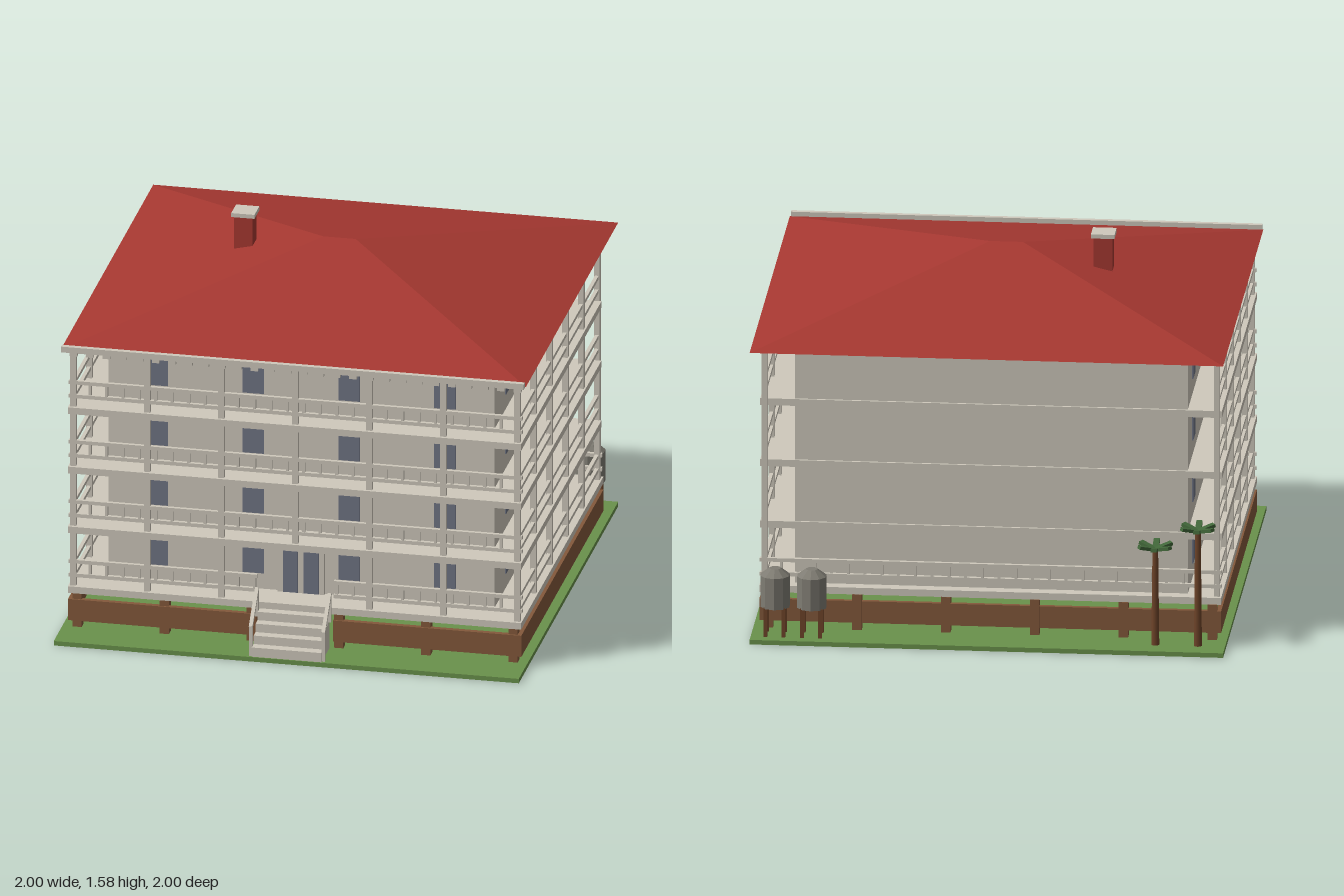
import * as THREE from 'three';

const mat = (name, color, extra = {}) => {
  const m = new THREE.MeshStandardMaterial({ color, ...extra });
  m.name = name;
  return m;
};

export function createModel() {
  const stone = mat('stone', 0xcfc9bc);
  const red = mat('roofRed', 0xa63831);
  const grass = mat('grass', 0x6a924b);
  const timber = mat('timber', 0x84593b);
  const glass = mat('glass', 0x707585);
  const metal = mat('tankMetal', 0x7f7c73);
  const bark = mat('bark', 0x6e4429);
  const leaf = mat('leaf', 0x42683a);

  const model = new THREE.Group();
  model.name = 'galleryHouse';
  const group = (name) => {
    const g = new THREE.Group();
    g.name = name;
    model.add(g);
    return g;
  };
  const mesh = (parent, name, geo, m, x = 0, y = 0, z = 0) => {
    const o = new THREE.Mesh(geo, m);
    o.name = name;
    o.position.set(x, y, z);
    parent.add(o);
    return o;
  };
  // Box given by its minimum and maximum on each axis
  const box = (parent, name, m, x0, x1, y0, y1, z0, z1) =>
    mesh(parent, name, new THREE.BoxGeometry(x1 - x0, y1 - y0, z1 - z0), m,
      (x0 + x1) / 2, (y0 + y1) / 2, (z0 + z1) / 2);

  box(model, 'lawn', grass, -1, 1, 0, 0.02, -1, 1);

  // Timber stilts and skirt boards
  const base = group('foundation');
  for (let i = 0; i < 6; i++)
    for (const z of [0.805, -0.805]) {
      const x = -0.9375 + i * 0.375;
      box(base, 'stilt', timber, x - 0.02, x + 0.02, 0.02, 0.176, z - 0.02, z + 0.02);
    }
  for (const s of [-1, 1]) {
    const a = s < 0 ? -0.975 : 0.165;
    box(base, 'frontSkirt', timber, a, a + 0.81, 0.05, 0.146, 0.81, 0.832);
    box(base, 'sideSkirt', timber, s * 0.965 - 0.01, s * 0.965 + 0.01, 0.05, 0.146, -0.82, 0.832);
  }
  box(base, 'backSkirt', timber, -0.975, 0.975, 0.05, 0.146, -0.82, -0.8);

  // Building core and gallery floors
  box(model, 'walls', stone, -0.83, 0.83, 0.19, 1.295, -0.77, 0.69);
  const floorY = [0.19, 0.462, 0.734, 1.004];
  const floors = group('galleryFloors');
  floorY.forEach((y, i) =>
    box(floors, 'floorSlab', stone, -0.975, 0.975, y - 0.015, y + 0.015, i ? -0.78 : -0.82, 0.835));

  // Gallery posts
  const posts = group('galleryPosts');
  const post = (x, z) => box(posts, 'post', stone, x - 0.0125, x + 0.0125, 0.2, 1.295, z - 0.0125, z + 0.0125);
  for (let i = 0; i < 7; i++) {
    const x = -0.955 + i * 0.3183;
    if (i !== 3) post(x, 0.81);
    else box(posts, 'centrePost', stone, x - 0.0125, x + 0.0125, 0.47, 1.295, 0.7975, 0.8225);
  }
  for (const s of [-1, 1])
    for (let i = 1; i < 6; i++) post(s * 0.955, 0.81 - i * 0.32);

  // Railings: two rails all round, short balusters at front and back
  const rails = group('railings');
  const railing = (x0, x1, y, z) => {
    for (const h of [0.06, 0.122])
      box(rails, 'rail', stone, x0, x1, y + h - 0.008, y + h + 0.008, z - 0.008, z + 0.008);
    for (let i = 0; i <= 27; i++) {
      const x = -0.955 + i * 0.07074;
      if (x > x0 && x < x1)
        box(rails, 'baluster', stone, x - 0.006, x + 0.006, y + 0.06, y + 0.122, z - 0.006, z + 0.006);
    }
  };
  floorY.forEach((y, i) => {
    if (i) railing(-0.975, 0.975, y, 0.81);
    else {
      railing(-0.975, -0.165, y, 0.81);
      railing(0.165, 0.975, y, 0.81);
      railing(-0.975, 0.975, y, -0.795);
    }
    for (const s of [-1, 1])
      for (const h of [0.06, 0.122])
        box(rails, 'sideRail', stone, s * 0.955 - 0.008, s * 0.955 + 0.008,
          y + h - 0.008, y + h + 0.008, i ? -0.78 : -0.8, 0.81);
  });

  // Windows on three sides
  const windows = group('windows');
  for (let i = 0; i < 4; i++) {
    const y0 = 0.277 + i * 0.272, y1 = y0 + 0.172;
    for (const x of [-0.62, -0.207, 0.205, 0.617])
      box(windows, 'frontWindow', glass, x - 0.046, x + 0.046, y0, y1, 0.688, 0.696);
    for (const z of [0.44, -0.047, -0.537])
      for (const s of [-1, 1])
        box(windows, 'sideWindow', glass, s * 0.832 - 0.004, s * 0.832 + 0.004, y0, y1, z - 0.046, z + 0.046);
  }

  // Double entrance door
  const door = group('entrance');
  box(door, 'doorFrame', stone, -0.1, 0.1, 0.2, 0.485, 0.68, 0.705);
  for (const x of [-0.045, 0.045])
    box(door, 'doorGlass', glass, x - 0.032, x + 0.032, 0.207, 0.45, 0.703, 0.71);

  // Front steps with sloping handrails
  const stairs = group('stairs');
  for (let i = 0; i < 4; i++)
    box(stairs, 'step', stone, -0.15, 0.15, 0.02, 0.062 + i * 0.038, 0.83, 0.995 - i * 0.04);
  for (const x of [-0.156, 0.156]) {
    box(stairs, 'lowerRailPost', stone, x - 0.007, x + 0.007, 0.02, 0.155, 0.973, 0.987);
    box(stairs, 'upperRailPost', stone, x - 0.007, x + 0.007, 0.15, 0.275, 0.853, 0.867);
    const rail = mesh(stairs, 'handrail', new THREE.BoxGeometry(0.016, 0.014, 0.18), stone, x, 0.213, 0.92);
    rail.rotation.x = Math.PI / 4;
  }

  // Hipped roof with a short ridge
  const E = 1.29, R = 1.51;
  const A = [-1, E, 0.855], B = [1, E, 0.855], C = [1, E, -1], D = [-1, E, -1];
  const P = [-0.07, R, -0.07], Q = [0.07, R, -0.07];
  const faces = [A, B, Q, A, Q, P, B, C, Q, C, D, P, C, P, Q, D, A, P, A, D, C, A, C, B];
  const roofGeo = new THREE.BufferGeometry();
  roofGeo.setAttribute('position', new THREE.Float32BufferAttribute(faces.flat(), 3));
  roofGeo.computeVertexNormals();
  mesh(model, 'roof', roofGeo, red);

  // Front fascia and its hanging dentils
  const trim = group('eavesTrim');
  box(trim, 'fascia', stone, -0.995, 0.995, 1.284, 1.31, 0.855, 0.877);
  for (let i = 0; i <= 27; i++) {
    const x = -0.955 + i * 0.07074;
    box(trim, 'dentil', stone, x - 0.016, x + 0.016, 1.245, 1.292, 0.802, 0.818);
  }

  // Chimney
  const chimney = group('chimney');
  box(chimney, 'chimneyStack', red, -0.455, -0.375, 1.38, 1.568, -0.155, -0.075);
  box(chimney, 'chimneyCap', stone, -0.465, -0.365, 1.565, 1.583, -0.165, -0.067);

  // Water tanks on legs
  for (const x of [0.745, 0.9]) {
    const tank = group('waterTank');
    tank.position.set(x, 0, -0.91);
    const drum = new THREE.CylinderGeometry(0.064, 0.064, 0.138, 10).toNonIndexed();
    drum.computeVertexNormals();
    mesh(tank, 'tankBody', drum, metal, 0, 0.214);
    const lid = new THREE.CylinderGeometry(0.025, 0.064, 0.03, 10).toNonIndexed();
    lid.computeVertexNormals();
    mesh(tank, 'tankLid', lid, metal, 0, 0.298);
    for (const a of [-0.038, 0.038])
      for (const b of [-0.038, 0.038])
        box(tank, 'tankLeg', bark, a - 0.008, a + 0.008, 0.02, 0.15, b - 0.008, b + 0.008);
  }

  // Palm trees
  for (const [x, h] of [[-0.885, 0.525], [-0.705, 0.44]]) {
    const palm = group('palmTree');
    palm.position.set(x, 0, -0.905);
    mesh(palm, 'trunk', new THREE.CylinderGeometry(0.012, 0.017, h - 0.02, 8), bark, 0, h / 2 + 0.01);
    for (let i = 0; i < 6; i++) {
      const arm = new THREE.Group();
      arm.name = 'frond';
      arm.position.y = h;
      arm.rotation.set(0, i * Math.PI / 3 + Math.PI / 2, 0.25);
      palm.add(arm);
      mesh(arm, 'frondBlade', new THREE.BoxGeometry(0.08, 0.014, 0.026), leaf, 0.038, 0);
    }
  }

  return model;
}
